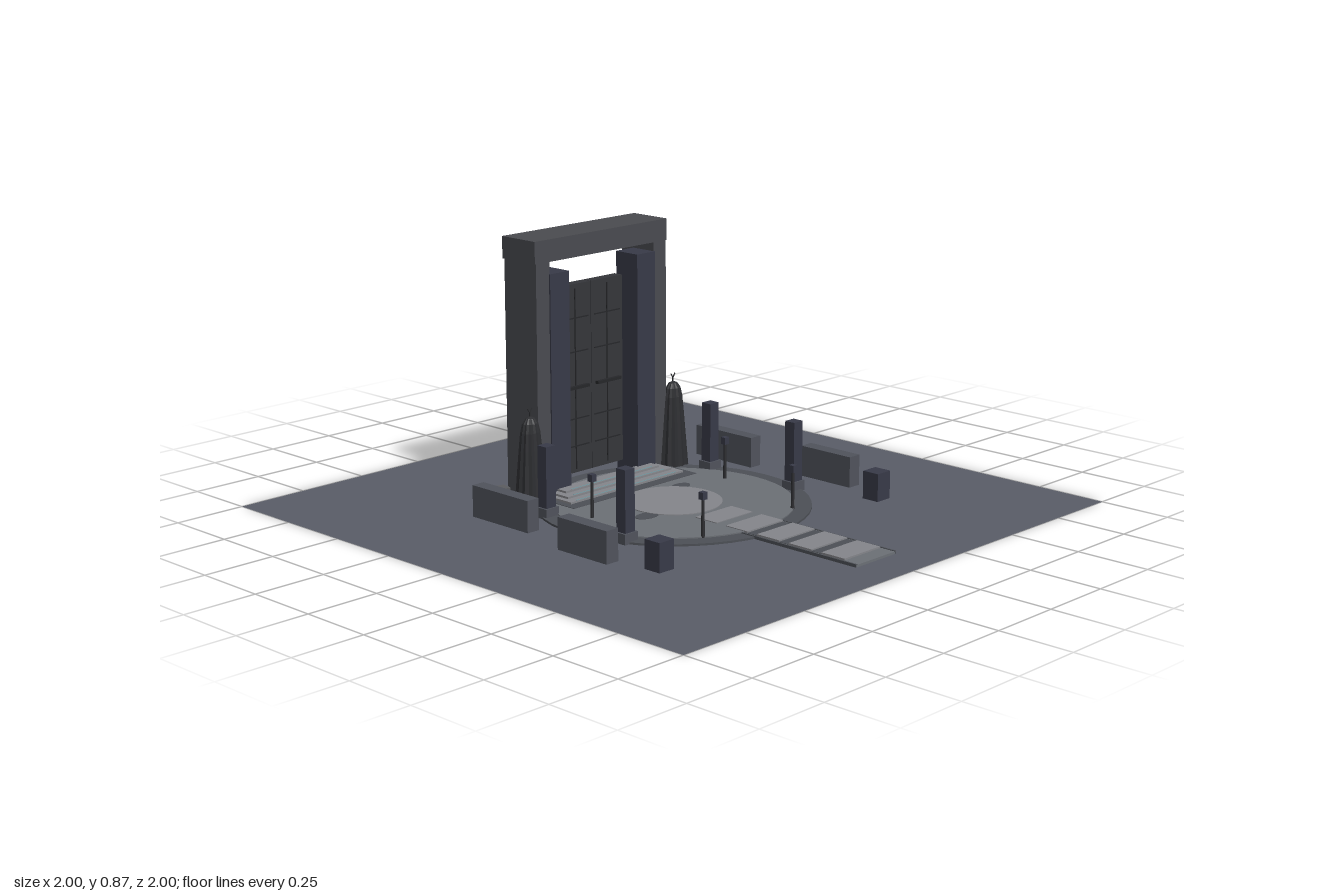
import * as THREE from 'three';

const mat = (color) => new THREE.MeshStandardMaterial({ color, flatShading: true });
const M = {
  ground: mat(0x5a5d68), rim: mat(0x4d5056), stone: mat(0x6c7076), pale: mat(0x85868b),
  frame: mat(0x4a4b50), pier: mat(0x383a48), door: mat(0x35363a), seam: mat(0x26272a),
  wall: mat(0x50535c), statue: mat(0x2d2e31), glow: mat(0x6f98a0), rubble: mat(0x5c5d60),
};
M.ground.side = THREE.DoubleSide;

export function createModel() {
  const root = new THREE.Group();

  const add = (name, geo, material, x, y, z, parent = root) => {
    const mesh = new THREE.Mesh(geo, material);
    mesh.name = name;
    mesh.position.set(x, y, z);
    parent.add(mesh);
    return mesh;
  };
  // Box given by its extents
  const box = (name, material, x0, x1, y0, y1, z0, z1, parent = root) =>
    add(name, new THREE.BoxGeometry(x1 - x0, y1 - y0, z1 - z0), material,
      (x0 + x1) / 2, (y0 + y1) / 2, (z0 + z1) / 2, parent);
  // Upright box by centre, size and base height
  const post = (name, material, x, z, w, d, y0, y1, parent = root) =>
    box(name, material, x - w / 2, x + w / 2, y0, y1, z - d / 2, z + d / 2, parent);
  const disc = (name, material, r, y0, y1, x = 0, z = 0, sx = 1, sz = 1) => {
    const m = add(name, new THREE.CylinderGeometry(r, r, y1 - y0, 48), material, x, (y0 + y1) / 2, z);
    m.scale.set(sx, 1, sz);
    return m;
  };

  // Ground
  add('ground', new THREE.PlaneGeometry(2, 2).rotateX(-Math.PI / 2), M.ground, 0, 0, 0);

  // Round plaza with centre medallion and worn patches
  disc('plazaRim', M.rim, 0.455, 0, 0.007);
  disc('plazaFloor', M.stone, 0.4, 0.002, 0.011);
  disc('plazaMedallion', M.pale, 0.162, 0.004, 0.014);
  disc('stain', M.rim, 0.045, 0.009, 0.0125, -0.18, 0.055, 1, 0.65);
  disc('stain', M.rim, 0.037, 0.009, 0.0125, 0.145, -0.105, 1, 0.65);

  // Approach path with paving slabs
  box('pathBase', M.stone, -0.095, 0.095, 0, 0.008, 0.39, 0.857);
  for (const x of [-0.093, 0.093]) box('pathEdge', M.rim, x - 0.003, x + 0.003, 0, 0.01, 0.39, 0.857);
  for (let i = 0; i < 5; i++) {
    const z = 0.18 + i * 0.1325;
    box('pathSlab', M.pale, -0.085, 0.085, 0.004, 0.0135, z, z + 0.092);
    if (i > 1) box('pathJoint', M.rim, -0.085, 0.085, 0.004, 0.009, z - 0.04, z);
  }

  // Threshold and steps with glowing edges
  box('threshold', M.rim, -0.29, 0.29, 0.002, 0.0125, -0.33, -0.17);
  [[0.265, -0.21], [0.245, -0.245], [0.22, -0.28]].forEach(([w, z], i) => {
    const top = 0.019 + i * 0.007;
    box('step', M.pale, -w, w, 0.004, top, -0.33, z);
    box('stepEdge', M.glow, -w + 0.03, w - 0.03, top - 0.002, top + 0.001, z - 0.008, z - 0.004);
  });

  // Gate frame: outer pillars, inner piers and lintel
  const gate = new THREE.Group();
  gate.name = 'gate';
  root.add(gate);
  for (const s of [-1, 1]) {
    post('outerPillar', M.frame, s * 0.27, -0.4, 0.06, 0.15, 0, 0.8, gate);
    post('innerPier', M.pier, s * 0.2, -0.37, 0.085, 0.1, 0, s < 0 ? 0.76 : 0.77, gate);
  }
  box('lintel', M.frame, -0.304, 0.304, 0.8, 0.874, -0.48, -0.325, gate);

  // Double door with panel joints and handle bars
  for (const s of [-1, 1]) {
    post('doorLeaf', M.door, s * 0.074, -0.4, 0.146, 0.035, 0.048, 0.695, gate);
    for (const y of [0.14, 0.235, 0.465, 0.58])
      box('doorJoint', M.seam, s * 0.074 - 0.06, s * 0.074 + 0.06, y - 0.002, y + 0.002, -0.383, -0.38, gate);
    post('doorRib', M.seam, s * 0.074, -0.3815, 0.004, 0.003, 0.06, 0.68, gate);
    box('doorHandle', M.seam, s * 0.075 - 0.055, s * 0.075 + 0.055, 0.339, 0.349, -0.384, -0.37, gate);
  }
  post('doorSeam', M.seam, 0, -0.4, 0.004, 0.03, 0.048, 0.69, gate);

  // Robed guardian statues: fluted, tapering bodies with a forked crest
  const profile = [[0, 0], [0.058, 0], [0.056, 0.02], [0.049, 0.1], [0.041, 0.19], [0.035, 0.25],
    [0.028, 0.28], [0.016, 0.297], [0, 0.303]].map(([x, y]) => new THREE.Vector2(x, y));
  const robe = new THREE.LatheGeometry(profile, 24);
  const p = robe.attributes.position;
  for (let i = 0; i < p.count; i++) {
    const k = 1 + 0.05 * Math.cos(12 * Math.atan2(p.getX(i), p.getZ(i)));
    p.setXYZ(i, p.getX(i) * k, p.getY(i), p.getZ(i) * k * 0.78);
  }
  robe.computeVertexNormals();
  for (const s of [-1, 1]) {
    const statue = new THREE.Group();
    statue.name = 'statue';
    statue.position.set(s * 0.335, 0, -0.325);
    root.add(statue);
    add('robe', robe, M.statue, 0, 0, 0, statue);
    post('crestStem', M.statue, 0, 0, 0.004, 0.004, 0.298, 0.316, statue);
    for (const t of [-1, 1])
      add('crestFork', new THREE.BoxGeometry(0.003, 0.018, 0.003), M.statue, t * 0.005, 0.322, 0, statue)
        .rotation.z = -t * 0.55;
  }

  // Mirrored surroundings
  for (const s of [-1, 1]) {
    for (const [x, z] of [[0.385, -0.195], [0.397, 0.175]]) {
      post('columnBase', M.wall, s * x, z, 0.056, 0.052, 0, 0.035);
      post('column', M.pier, s * x, z, 0.042, 0.04, 0.035, 0.24);
    }
    for (const [x, z] of [[0.314, -0.06], [0.213, 0.333]]) {
      add('lampPole', new THREE.CylinderGeometry(0.005, 0.006, 0.13, 8), M.statue, s * x, 0.07, z);
      post('lampHead', M.pier, s * x, z, 0.02, 0.02, 0.132, 0.156);
    }
    post('rearWall', M.wall, s * 0.525, -0.24, 0.048, 0.26, 0, 0.106);
    post('frontWall', M.wall, s * 0.573, 0.187, 0.05, 0.215, 0, 0.106);
    post('cornerBlock', M.pier, s * 0.515, 0.437, 0.063, 0.063, 0, 0.095);
  }

  // Fallen rubble behind the gate
  for (const [x, z, a] of [[-0.42, -0.395, 0.25], [0.425, -0.385, -0.4], [-0.325, -0.485, -0.2], [0.328, -0.487, 0.35]])
    post('rubble', M.rubble, x, z, 0.05, 0.045, 0, 0.028).rotation.y = a;

  return root;
}
